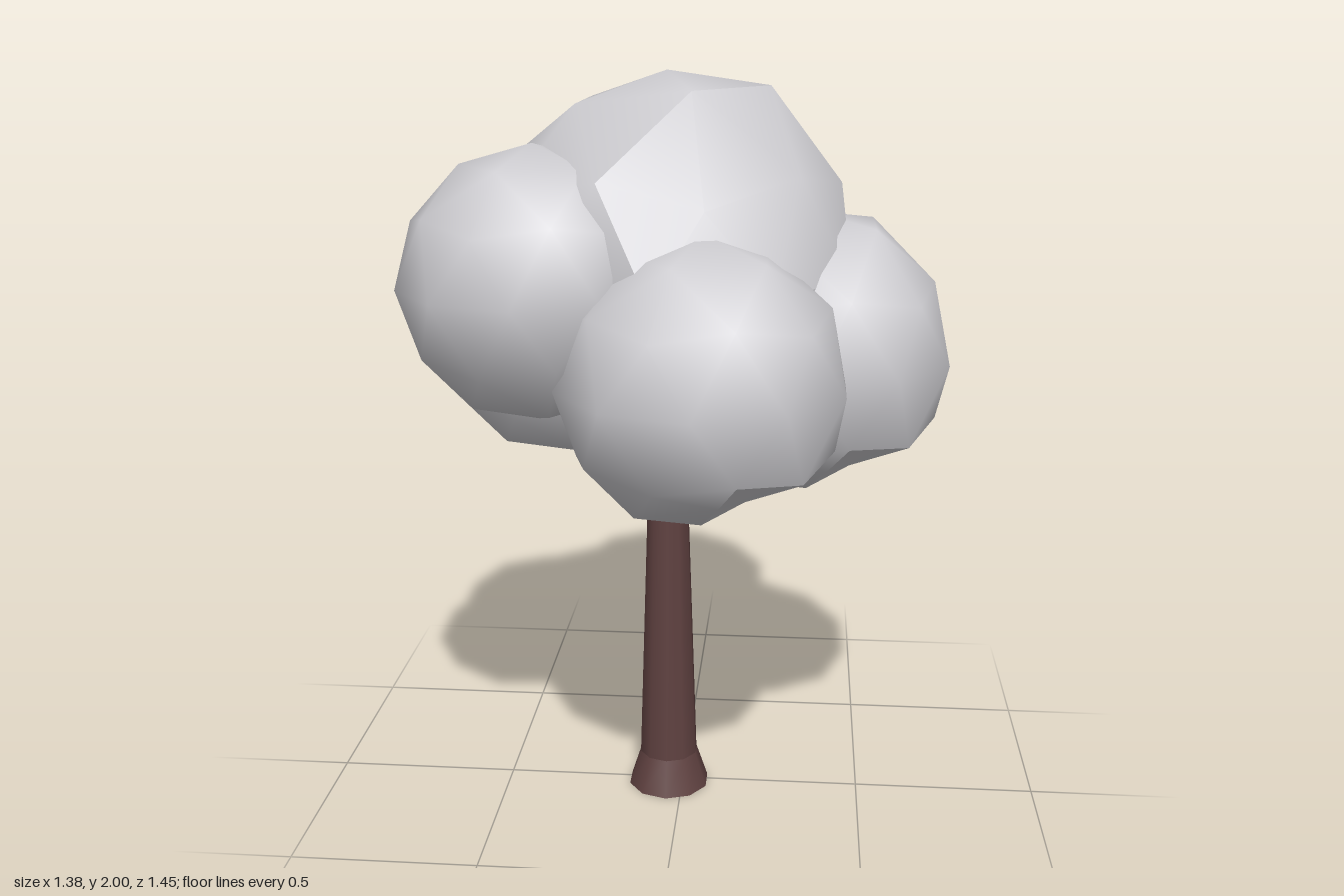
import * as THREE from 'three';
import { mergeVertices } from 'three/addons/utils/BufferGeometryUtils.js';

const leaf = new THREE.MeshStandardMaterial({ color: 0xcecdd1 });
leaf.name = 'leafGrey';
const bark = new THREE.MeshStandardMaterial({ color: 0x5f4140 });
bark.name = 'barkBrown';

// Icosphere with a vertex at each pole; turn sets the heading of its upper ring
function icosphere(turn) {
  const g = new THREE.IcosahedronGeometry(1, 1);
  g.rotateX(-Math.atan((1 + Math.sqrt(5)) / 2));
  g.rotateY(Math.PI / 2 + turn);
  return g;
}

// Clump of leaves: reshape each vertex, then smooth the facet and the rest apart
function clump(name, turn, radius, position, reshape, inFacet) {
  const pos = icosphere(turn).getAttribute('position');
  const main = [], facet = [];
  const v = new THREE.Vector3(), c = new THREE.Vector3();
  for (let i = 0; i < pos.count; i += 3) {
    c.set(0, 0, 0);
    const face = [];
    for (let k = 0; k < 3; k++) {
      v.fromBufferAttribute(pos, i + k);
      c.addScaledVector(v, 1 / 3);
      reshape(v);
      face.push(v.x * radius, v.y * radius, v.z * radius);
    }
    (inFacet(c) ? facet : main).push(...face);
  }
  const group = new THREE.Group();
  group.name = name;
  group.position.set(...position);
  [['leaves', main], ['leafFacet', facet]].forEach(([part, data]) => {
    if (!data.length) return;
    let g = new THREE.BufferGeometry();
    g.setAttribute('position', new THREE.Float32BufferAttribute(data, 3));
    g = mergeVertices(g, 1e-4);
    g.computeVertexNormals();
    const mesh = new THREE.Mesh(g, leaf);
    mesh.name = part;
    group.add(mesh);
  });
  return group;
}

function cylinder(name, top, bottom, y0, y1, x, z, sides) {
  const mesh = new THREE.Mesh(new THREE.CylinderGeometry(top, bottom, y1 - y0, sides), bark);
  mesh.name = name;
  mesh.position.set(x, (y0 + y1) / 2, z);
  return mesh;
}

// Lifts the small ring around the top pole on the +x side
function raiseCap(v, lift) {
  if (v.y > 0.8 && v.y < 0.9 && v.x > 0) v.y += lift;
}

export function createModel() {
  const tree = new THREE.Group();
  tree.name = 'tree';
  const cx = -0.04;

  // Trunk with flared foot
  tree.add(cylinder('trunkFoot', 0.082, 0.115, 0, 0.1, cx, 0.01, 10));
  tree.add(cylinder('trunk', 0.049, 0.082, 0.1, 1.1, cx, 0.01, 10));

  // Three short branch stubs under the crown
  for (let i = 0; i < 3; i++) {
    const a = THREE.MathUtils.degToRad(92 + 120 * i);
    tree.add(cylinder('branchStub', 0.02, 0.02, 0.925, 1.15,
      cx + 0.122 * Math.cos(a), 0.01 + 0.122 * Math.sin(a), 8));
  }

  // Large middle clump, flattened on its front left shoulder
  const shoulder = new THREE.Vector3(0.276, 0.447, 0.85);
  tree.add(clump('crownCentre', 0, 0.5, [cx, 1.5, 0], (v) => {
    if (v.distanceTo(shoulder) < 0.1) v.multiplyScalar(0.87);
    raiseCap(v, 0.075);
  }, (c) => {
    const a = Math.atan2(c.z, c.x);
    return c.y > 0 && c.y < 0.86 && a > 0 && a < 1.88;
  }));

  // Five clumps in a ring: name, height, radius, x, z, cap lift, flat patch low on one side
  [
    ['clumpLeft', 1.275, 0.375, 0.335, 0.005, 0.07, true],
    ['clumpFront', 1.28, 0.365, 0.075, 0.362, 0, true],
    ['clumpFrontRight', 1.49, 0.347, -0.35, 0.222, 0, false],
    ['clumpBackRight', 1.285, 0.358, -0.352, -0.212, 0, false],
    ['clumpBack', 1.5, 0.366, 0.077, -0.36, 0, false],
  ].forEach(([name, y, radius, x, z, lift, flat]) => {
    tree.add(clump(name, Math.PI, radius, [x, y, z], (v) => {
      raiseCap(v, lift);
      if (flat && v.y < -0.6 && v.y > -0.95 && v.x > 0.1 && v.z > -0.1) v.multiplyScalar(0.86);
    }, (c) => flat && c.y < -0.5 && c.x > 0 && c.z > 0 && Math.atan2(c.z, c.x) < 1.26));
  });

  return tree;
}
